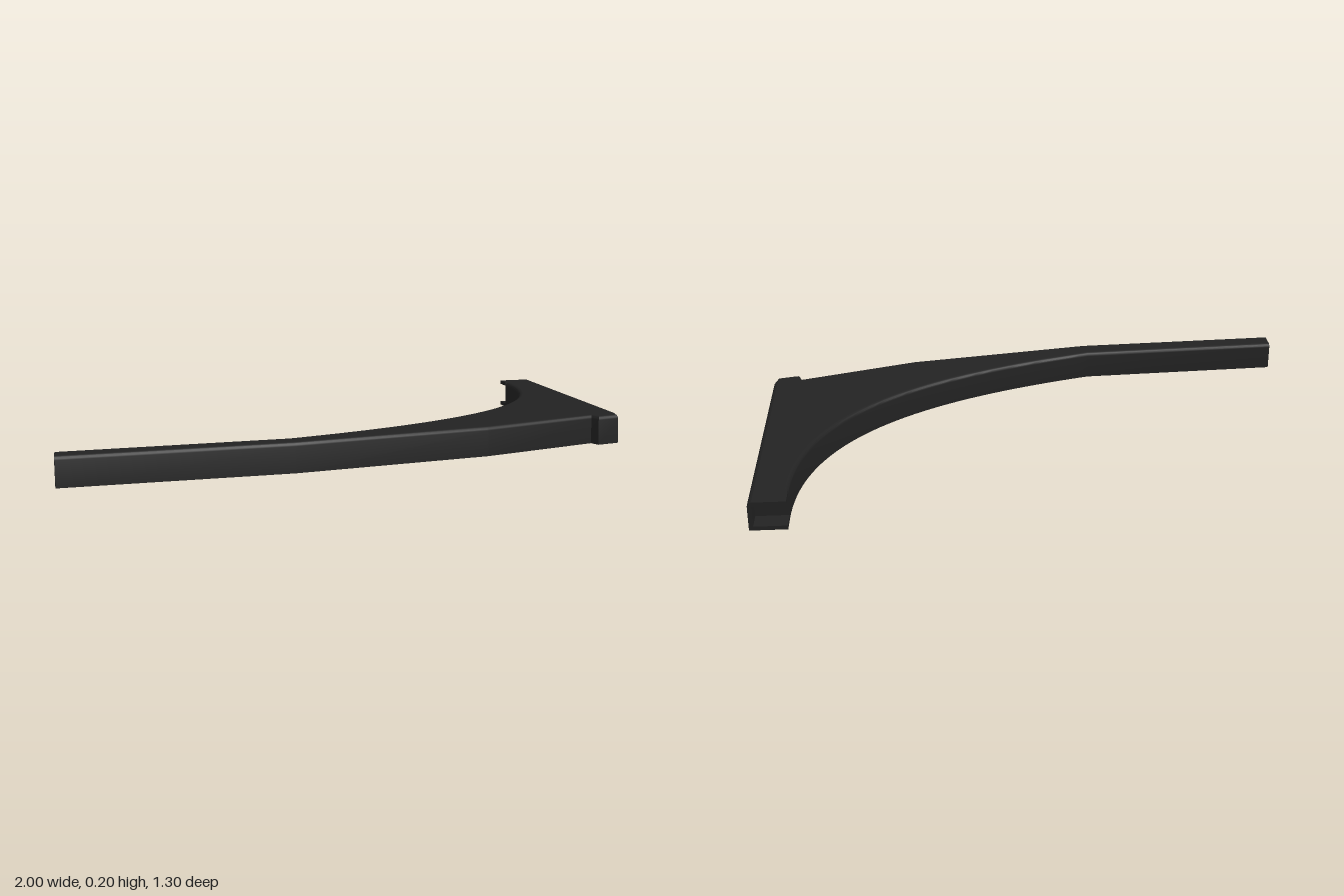
import * as THREE from 'three';
import { toCreasedNormals } from 'three/addons/utils/BufferGeometryUtils.js';

const HEIGHT = 0.103, WALL = 0.014, BACK = -0.65, SOCKET = 0.07;
const material = new THREE.MeshStandardMaterial({ color: 0x222222 });

function part(name, geometry) {
  const mesh = new THREE.Mesh(geometry, material);
  mesh.name = name;
  return mesh;
}

// Box given by its lowest corner and size
function block(name, [x, y, z], [w, h, d]) {
  return part(name, new THREE.BoxGeometry(w, h, d).translate(x + w / 2, y + h / 2, z + d / 2));
}

// Shift a path of (x, z) points sideways by d, mitring the corners
function inset(path, d) {
  const normal = (a, b) => new THREE.Vector2(b.y - a.y, a.x - b.x).normalize();
  const last = path.length - 1;
  return path.map((p, i) => {
    const n0 = normal(path[Math.max(i - 1, 0)], path[Math.max(i, 1)]);
    const n1 = normal(path[Math.min(i, last - 1)], path[Math.min(i + 1, last)]);
    return p.clone().addScaledVector(n0.clone().add(n1), d / (1 + n0.dot(n1)));
  });
}

// Sweep a wall section with a rounded top edge along a path
function wall(name, path) {
  const profile = [[0, 0], [0, HEIGHT - WALL]];
  for (let k = 1; k <= 4; k++) {
    const a = (k / 4) * Math.PI / 2;
    profile.push([WALL * (1 - Math.cos(a)), HEIGHT - WALL * (1 - Math.sin(a))]);
  }
  profile.push([WALL, 0]);
  const n = profile.length, m = path.length, index = [], pos = [];
  const rings = profile.map(([d]) => inset(path, d));
  for (let i = 0; i < m; i++) {
    profile.forEach(([, y], j) => pos.push(rings[j][i].x, y, rings[j][i].y));
  }
  for (let i = 0; i < m - 1; i++) {
    for (let j = 0; j < n; j++) {
      const k = (j + 1) % n, a = i * n, b = a + n;
      index.push(a + j, b + j, b + k, a + j, b + k, a + k);
    }
  }
  // End caps
  const e = (m - 1) * n;
  for (let j = 1; j < n - 1; j++) index.push(0, j, j + 1, e, e + j + 1, e + j);
  const geo = new THREE.BufferGeometry();
  geo.setAttribute('position', new THREE.Float32BufferAttribute(pos, 3));
  geo.setIndex(index);
  return part(name, toCreasedNormals(geo, 0.5));
}

// Flat sheet with an (x, z) outline, its underside at height y
function sheet(name, outline, y) {
  const shape = new THREE.Shape(outline.map((p) => new THREE.Vector2(p.x, -p.y)));
  const geo = new THREE.ExtrudeGeometry(shape, { depth: WALL, bevelEnabled: false });
  return part(name, geo.rotateX(-Math.PI / 2).translate(0, y, 0));
}

export function createModel() {
  const group = new THREE.Group();
  group.name = 'bracket';
  const body = new THREE.Group();
  body.name = 'body';
  group.add(body);
  const v = (x, z) => new THREE.Vector2(x, z);

  // Faceted front edge, stepped corner block and straight side
  const outer = [v(-1, 0.65), v(-0.23, 0.607), v(0.46, 0.482), v(0.89, 0.338),
    v(0.903, 0.375), v(0.985, 0.355), v(0.996, 0.31), v(0.996, BACK)];

  // Sweeping concave edge, from the back end round to the arm
  const curve = new THREE.CubicBezierCurve(v(0.87, BACK + SOCKET), v(0.87, 0.055),
    v(0.36, 0.345), v(-0.24, 0.518));
  const inner = [...curve.getPoints(48), v(-1, 0.564)];
  body.add(wall('outerWall', outer), wall('curvedWall', inner));

  // Top and floor close the body and run on to the back end
  const outline = [...inset(outer, WALL), v(0.87 + WALL, BACK), ...inset(inner, WALL)];
  body.add(sheet('topPlate', outline, HEIGHT - WALL), sheet('floor', outline, 0));

  // Socket at the back end: open at the end and the inner side, with a lip above and below
  const back = BACK + SOCKET;
  for (const y of [0, HEIGHT - WALL]) {
    body.add(block('socketLip', [0.87, y, BACK], [WALL, WALL, SOCKET]));
  }
  body.add(block('socketWall', [0.872, 0, back], [0.122, HEIGHT - WALL, WALL]));

  // Closed end of the arm
  body.add(block('armEnd', [-1, 0, 0.566], [WALL, HEIGHT - WALL, 0.082]));

  // The whole body leans down towards the back
  body.rotation.x = -0.0735;
  body.position.set(0.002, 0.0478, 0.003);
  return group;
}
